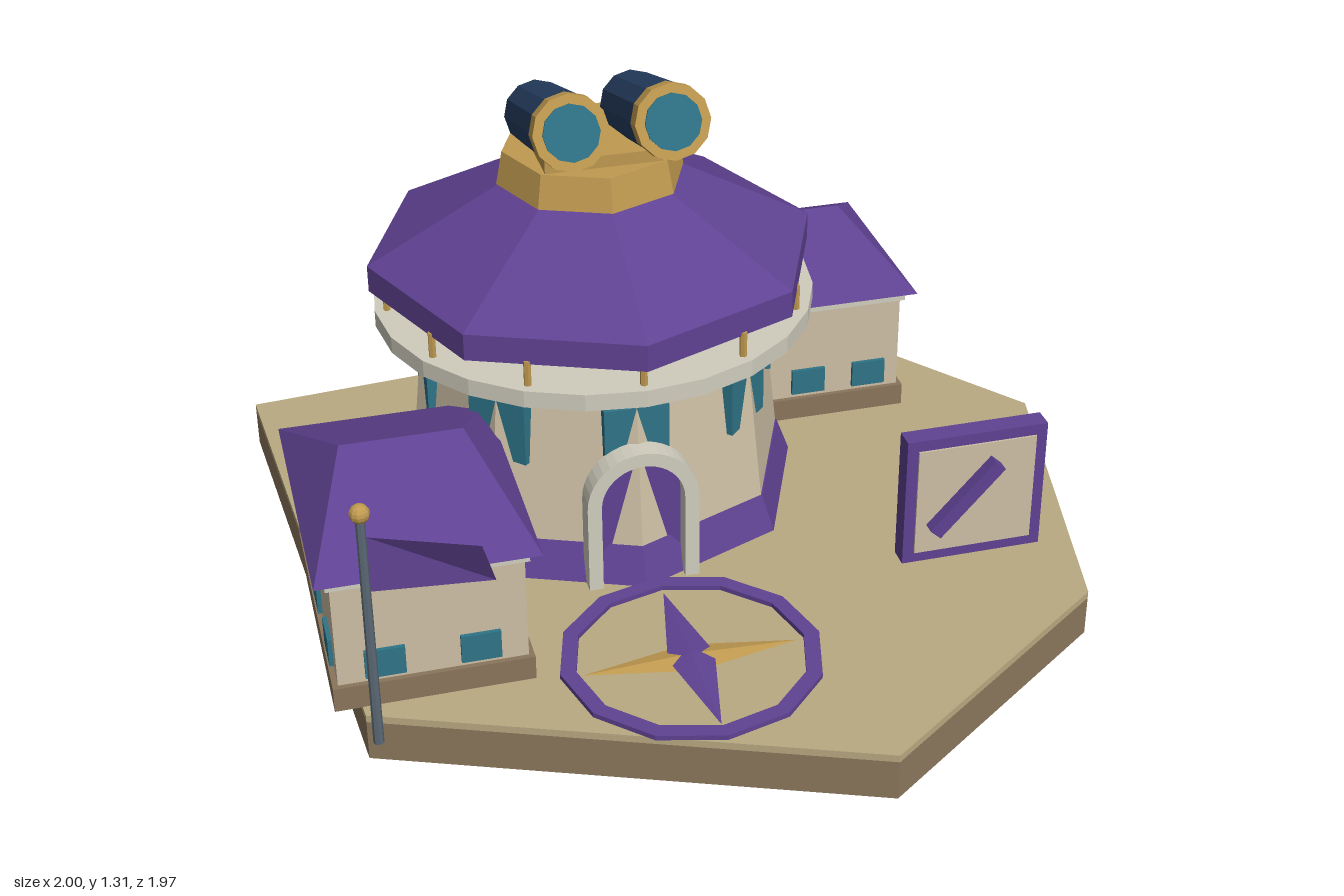
import * as THREE from 'three';
import { ConvexGeometry } from 'three/addons/geometries/ConvexGeometry.js';

const mat = (color, side = THREE.FrontSide) =>
  new THREE.MeshStandardMaterial({ color, side, flatShading: true });
const M = {
  purple: mat(0x5f4292), lilac: mat(0x8062b0), sand: mat(0xb9aa82), earth: mat(0x8c785d),
  stone: mat(0x8a755c), wall: mat(0xcdbfa4), cream: mat(0xd0cdbe), gold: mat(0xc09a50),
  teal: mat(0x2f7488), navy: mat(0x263f62), steel: mat(0x5c6874),
  flag: mat(0x5f4292, THREE.DoubleSide),
};

function add(parent, name, geo, material, x = 0, y = 0, z = 0) {
  const m = new THREE.Mesh(geo, material);
  m.name = name;
  m.position.set(x, y, z);
  parent.add(m);
  return m;
}
const box = (w, h, d) => new THREE.BoxGeometry(w, h, d);
// Tapered prism standing on y0
const drum = (parent, name, material, rBottom, rTop, y0, y1, sides = 8) =>
  add(parent, name, new THREE.CylinderGeometry(rTop, rBottom, y1 - y0, sides), material, 0, (y0 + y1) / 2, 0);
const group = (parent, name, x = 0, y = 0, z = 0) => {
  const g = new THREE.Group();
  g.name = name;
  g.position.set(x, y, z);
  parent.add(g);
  return g;
};

// Irregular six-sided plot
function buildGround(root) {
  const pts = [[-1, -0.85], [0.5, -0.985], [1, -0.31], [0.81, 0.535], [0.18, 0.98], [-0.9, 0.545]];
  const shape = new THREE.Shape(pts.map(([x, z]) => new THREE.Vector2(x, -z)));
  const slab = (name, y0, y1, material) => {
    const geo = new THREE.ExtrudeGeometry(shape, { depth: y1 - y0, bevelEnabled: false });
    geo.rotateX(-Math.PI / 2);
    add(root, name, geo, material, 0, y0, 0);
  };
  slab('groundBase', 0, 0.1, M.earth);
  slab('groundTop', 0.1, 0.118, M.sand);
}

function buildTower(root) {
  const t = group(root, 'tower', -0.19, 0, -0.267);
  drum(t, 'skirt', M.purple, 0.508, 0.474, 0.118, 0.21);
  drum(t, 'towerWall', M.wall, 0.472, 0.425, 0.2, 0.63);
  drum(t, 'upperWall', M.wall, 0.42, 0.415, 0.63, 0.74);
  drum(t, 'balcony', M.cream, 0.535, 0.535, 0.63, 0.672, 24);
  drum(t, 'eave', M.purple, 0.545, 0.545, 0.727, 0.793);
  drum(t, 'roof', M.purple, 0.545, 0.222, 0.793, 0.968);
  drum(t, 'roofCap', M.gold, 0.228, 0.212, 0.968, 1.05);
  add(t, 'mountPlate', box(0.28, 0.03, 0.3), M.gold, 0, 1.065, 0);

  // Balcony posts
  for (let i = 0; i < 12; i++) {
    const a = (i * Math.PI) / 6;
    add(t, 'balconyPost', new THREE.CylinderGeometry(0.009, 0.009, 0.07, 6), M.gold,
      0.505 * Math.sin(a), 0.7, 0.505 * Math.cos(a));
  }
  // Flat windows set across each corner of the wall
  for (let i = 0; i < 8; i++) {
    const a = (i * Math.PI) / 4;
    const w = add(t, 'towerWindow', box(0.155, 0.158, 0.06), M.teal,
      0.402 * Math.sin(a), 0.488, 0.402 * Math.cos(a));
    w.rotation.y = a;
  }

  // Door and its round-headed surround
  const archShape = (r) => {
    const s = new THREE.Shape();
    s.moveTo(-r, 0.118);
    s.lineTo(r, 0.118);
    s.lineTo(r, 0.342);
    s.absarc(0, 0.342, r, 0, Math.PI, false);
    s.closePath();
    return s;
  };
  const frame = archShape(0.134);
  frame.holes.push(new THREE.Path(archShape(0.1).getPoints(10)));
  const extrude = (s, depth) => new THREE.ExtrudeGeometry(s, { depth, bevelEnabled: false, curveSegments: 10 });
  add(t, 'doorArch', extrude(frame, 0.058), M.cream, 0, 0, 0.43);
  add(t, 'door', extrude(archShape(0.105), 0.06), M.purple, 0, 0, 0.383);

  // Twin telescopes, tilted up toward the front
  for (const side of [-1, 1]) {
    const s = group(t, 'telescope', side * 0.115, 1.175, 0.149);
    s.rotation.x = -0.288;
    const tube = (name, material, rFront, rBack, z0, z1) => {
      const geo = new THREE.CylinderGeometry(rFront, rBack, z1 - z0, 12);
      geo.rotateX(Math.PI / 2);
      add(s, name, geo, material, 0, 0, (z0 + z1) / 2);
    };
    tube('telescopeBarrel', M.navy, 0.083, 0.079, -0.2, 0.16);
    tube('telescopeRim', M.gold, 0.087, 0.087, 0.152, 0.198);
    tube('telescopeLens', M.teal, 0.065, 0.065, 0.18, 0.203);
  }
}

// Hip-roofed house; w and d are wall sizes, ridge is the ridge half-length
function buildHouse(root, name, x, z, w, d, ridge, windowSides) {
  const h = group(root, name, x, 0, z);
  add(h, 'houseFooting', box(w + 0.025, 0.06, d + 0.025), M.stone, 0, 0.147, 0);
  add(h, 'houseWall', box(w, 0.27, d), M.wall, 0, 0.305, 0);
  add(h, 'houseTrim', box(w + 0.02, 0.035, d + 0.02), M.cream, 0, 0.45, 0);
  const rx = w / 2 + 0.035, rz = d / 2 + 0.035;
  const pts = [[-ridge, 0.6, 0], [ridge, 0.6, 0]];
  for (const sx of [-1, 1]) for (const sz of [-1, 1]) pts.push([sx * rx, 0.46, sz * rz]);
  add(h, 'houseRoof', new ConvexGeometry(pts.map((p) => new THREE.Vector3(...p))), M.purple);
  // Rows of windows: [facing angle, count]
  for (const [angle, count] of windowSides) {
    const alongX = Math.abs(Math.cos(angle)) > 0.5;
    const span = alongX ? w : d, reach = (alongX ? d : w) / 2;
    const row = group(h, 'windowRow');
    row.rotation.y = angle;
    for (let i = 0; i < count; i++)
      add(row, 'houseWindow', box(0.09, 0.07, 0.02), M.teal,
        span * ((i + 0.5) / count - 0.5), 0.225, reach);
  }
}

function buildCompass(root) {
  const c = group(root, 'compass', -0.165, 0.134, 0.55);
  const ring = (r) => Array.from({ length: 12 }, (_, i) =>
    new THREE.Vector2(r * Math.cos((i * Math.PI) / 6), r * Math.sin((i * Math.PI) / 6)));
  const shape = new THREE.Shape(ring(0.302));
  shape.holes.push(new THREE.Path(ring(0.265)));
  const geo = new THREE.ExtrudeGeometry(shape, { depth: 0.012, bevelEnabled: false });
  geo.rotateX(-Math.PI / 2);
  add(c, 'compassRing', geo, M.purple);
  // Low four-sided needles
  const needle = (name, material, sx, sz, y) =>
    add(c, name, new THREE.ConeGeometry(1, 0.012, 4), material, 0, y, 0).scale.set(sx, 1, sz);
  needle('crossNeedle', M.gold, 0.25, 0.05, 0.004);
  needle('mainNeedle', M.purple, 0.055, 0.25, 0.008);
}

function buildSign(root) {
  const s = group(root, 'signBoard', 0.567, 0.342, 0.362);
  add(s, 'signFrame', box(0.345, 0.333, 0.05), M.purple);
  add(s, 'signPanel', box(0.29, 0.278, 0.02), M.wall, 0, 0, 0.02);
  add(s, 'signBar', box(0.225, 0.035, 0.03), M.purple, -0.032, 0.012, 0.05).rotation.z = 0.83;
}

function buildFlag(root) {
  const f = group(root, 'flagpole', -0.885, 0, 0.64);
  drum(f, 'pole', M.steel, 0.012, 0.01, 0.118, 0.69, 8);
  add(f, 'poleBall', new THREE.SphereGeometry(0.022, 10, 8), M.gold, 0, 0.705, 0);
  // Cloth twists toward its free end
  const geo = new THREE.BufferGeometry();
  geo.setAttribute('position', new THREE.Float32BufferAttribute(
    [0.01, 0.645, 0, 0.01, 0.51, 0, 0.275, 0.48, -0.015, 0.24, 0.61, 0.042], 3));
  geo.setIndex([0, 1, 2, 0, 2, 3]);
  geo.computeVertexNormals();
  add(f, 'flagCloth', geo, M.flag);
}

export function createModel() {
  const root = new THREE.Group();
  root.name = 'observatory';
  buildGround(root);
  buildTower(root);
  buildHouse(root, 'frontHouse', -0.738, 0.198, 0.425, 0.605, 0.14, [[0, 2], [-Math.PI / 2, 3]]);
  buildHouse(root, 'backHouse', 0.415, -0.662, 0.5, 0.5, 0.155, [[0, 3], [Math.PI, 3]]);
  add(root, 'sideStep', box(0.17, 0.03, 0.15), M.lilac, -0.735, 0.132, -0.175);
  buildCompass(root);
  buildSign(root);
  buildFlag(root);
  return root;
}
